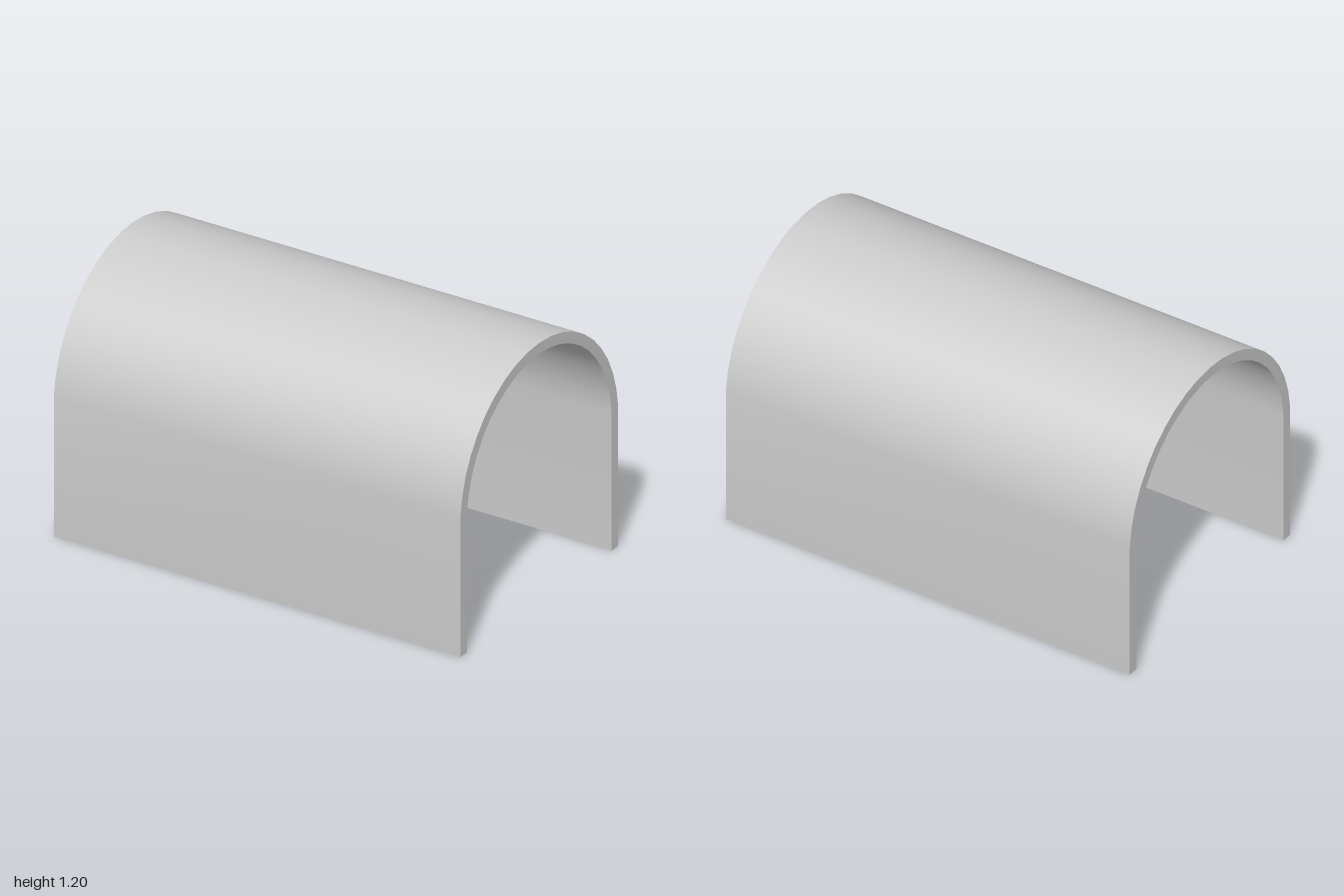
import * as THREE from 'three';
import { toCreasedNormals } from 'three/addons/utils/BufferGeometryUtils.js';

const LENGTH = 2;
const CENTRE_Y = 0.6;   // height of the arch's centre
const STEP = Math.PI / 21;
const HALF_STEPS = 10;  // facets from the crown down to each wall

// Upright wall, round vault, upright wall, for one radius
function archLine(radius) {
  const points = [];
  for (let i = -HALF_STEPS; i <= HALF_STEPS; i++) {
    const a = i * STEP;
    points.push(new THREE.Vector2(radius * Math.sin(a), CENTRE_Y + radius * Math.cos(a)));
  }
  const foot = points[points.length - 1].x;
  return [new THREE.Vector2(-foot, 0), ...points, new THREE.Vector2(foot, 0)];
}

export function createModel() {
  const group = new THREE.Group();
  group.name = 'archedShelter';

  // Constant-thickness arch section, swept along the length
  const section = new THREE.Shape([...archLine(0.6), ...archLine(0.55).reverse()]);
  const swept = new THREE.ExtrudeGeometry(section, { depth: LENGTH, bevelEnabled: false });
  swept.translate(0, 0, -LENGTH / 2);
  swept.rotateY(Math.PI / 2);

  const shell = new THREE.Mesh(
    toCreasedNormals(swept, Math.PI / 6),
    new THREE.MeshStandardMaterial({ color: 0xcccccc })
  );
  shell.name = 'archedShell';
  group.add(shell);
  return group;
}
